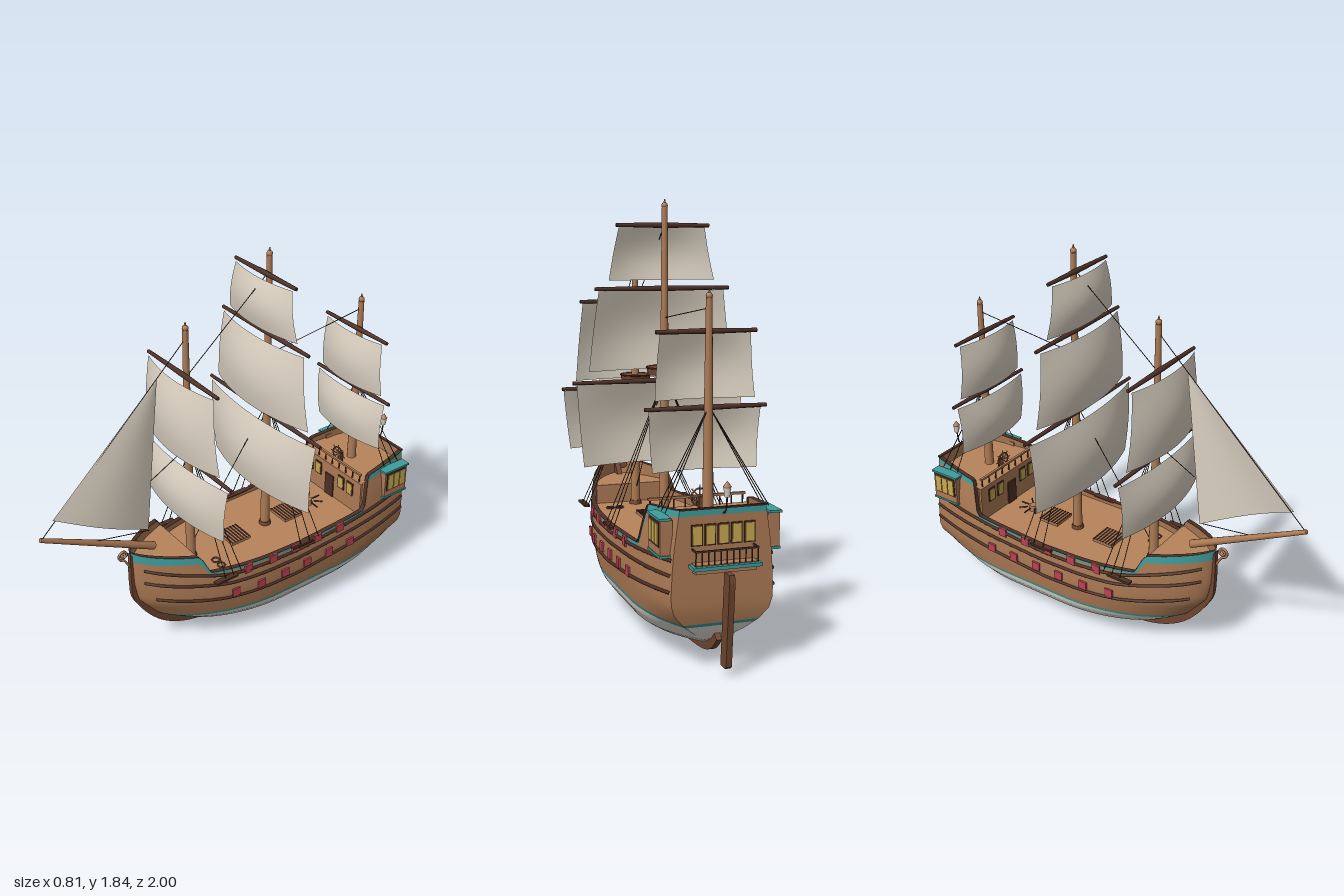
import * as THREE from 'three';

const mat = (name, color) => {
  const m = new THREE.MeshStandardMaterial({ color, side: THREE.DoubleSide });
  m.name = name;
  return m;
};
const M = {
  wood: mat('hull wood', 0xac7a54), deck: mat('deck wood', 0xb7845b),
  dark: mat('dark wood', 0x4d3026), brown: mat('red brown wood', 0x70452f),
  sail: mat('sailcloth', 0xdbd1c2), white: mat('hull white', 0xe4e0d8),
  teal: mat('teal trim', 0x3f9c9c), red: mat('port red', 0xbc4253),
  gold: mat('window gold', 0xc8a850), rope: mat('rope', 0x3a2d24),
};
const V = (x, y, z) => new THREE.Vector3(x, y, z);
const lerp = THREE.MathUtils.lerp;

// piecewise linear lookup in an ascending table
function at(t, x) {
  if (x <= t[0][0]) return t[0][1];
  for (let i = 1; i < t.length; i++)
    if (x <= t[i][0]) return lerp(t[i - 1][1], t[i][1], (x - t[i - 1][0]) / (t[i][0] - t[i - 1][0]));
  return t[t.length - 1][1];
}

// hull lines: half beam, bow and stern by height; rail height and trim depth by z
const BEAM = [[.038, 0], [.048, .09], [.065, .145], [.1, .198], [.15, .236], [.2, .25], [.3, .26], [.4, .255], [.5, .245], [.65, .218]];
const BOW = [[.038, .12], [.06, .22], [.1, .335], [.18, .455], [.3, .552], [.4, .57], [.58, .575]];
const STERN = [[.038, -.55], [.065, -.74], [.1, -.81], [.15, -.86], [.2, -.892], [.25, -.9]];
const SHEER = [[-.9, .65], [-.64, .622], [-.6, .455], [-.2, .437], [.28, .455], [.32, .545], [.58, .577]];
const TRIM = [[-.9, .025], [-.62, .03], [-.58, .014], [.27, .014], [.31, .035], [.58, .045]];
const stationZ = (s, y) => lerp(at(BOW, y), at(STERN, y), s);
function halfWidth(z, y) {
  const s = THREE.MathUtils.clamp((at(BOW, y) - z) / (at(BOW, y) - at(STERN, y)), 0, 1);
  const end = lerp(.15, .8, THREE.MathUtils.smoothstep(y, .04, .27));
  const fore = s < .42 ? (1 - (1 - s / .42) ** 2) ** .68 : 1;
  const aft = s > .65 ? 1 - (1 - end) * ((s - .65) / .35) ** 2.5 : 1;
  return at(BEAM, y) * fore * aft + .003;
}

export function createModel() {
  const root = new THREE.Group();
  root.name = 'sailingShip';
  const add = (name, geo, m) => {
    const mesh = new THREE.Mesh(geo, m);
    mesh.name = name;
    root.add(mesh);
    return mesh;
  };
  const box = (name, m, w, h, d, x, y, z) => {
    const b = add(name, new THREE.BoxGeometry(w, h, d), m);
    b.position.set(x, y, z);
    return b;
  };
  const rod = (name, m, a, b, r0, r1 = r0, sides = 8) => {
    const c = add(name, new THREE.CylinderGeometry(r1, r0, a.distanceTo(b), sides), m);
    c.position.copy(a).lerp(b, .5);
    c.quaternion.setFromUnitVectors(V(0, 1, 0), b.clone().sub(a).normalize());
    return c;
  };
  const ring = (name, m, r, t, x, y, z) => {
    const c = add(name, new THREE.TorusGeometry(r, t, 6, 24).rotateX(Math.PI / 2), m);
    c.position.set(x, y, z);
  };
  const tube = (name, m, pts, r, n = 40) =>
    add(name, new THREE.TubeGeometry(new THREE.CatmullRomCurve3(pts), n, r, 6), m);
  // grid of points from a rule f(u, v)
  const surface = (name, m, f, nu, nv) => {
    const p = [], idx = [];
    for (let j = 0; j <= nv; j++) for (let i = 0; i <= nu; i++) p.push(...f(i / nu, j / nv));
    for (let j = 0; j < nv; j++) for (let i = 0; i < nu; i++) {
      const a = j * (nu + 1) + i, b = a + nu + 1;
      idx.push(a, a + 1, b, a + 1, b + 1, b);
    }
    const g = new THREE.BufferGeometry();
    g.setAttribute('position', new THREE.Float32BufferAttribute(p, 3));
    g.setIndex(idx);
    g.computeVertexNormals();
    return add(name, g, m);
  };

  // hull planking in colour bands, both sides, with the flat transom closing the stern
  const trimY = z => at(SHEER, z) - at(TRIM, z);
  const bands = [
    ['hullBottom', M.white, () => .038, () => .178, 14], ['waterlineStripe', M.teal, () => .178, () => .192, 1],
    ['hullSide', M.wood, () => .192, trimY, 10], ['bulwarkTrim', M.teal, trimY, z => at(SHEER, z), 1]];
  for (const [name, m, lo, hi, n] of bands) {
    for (const side of [1, -1]) surface(name, m, (u, v) => {
      const s = (side > 0 ? 1 - u : u) ** 1.3, z0 = stationZ(s, .5);
      const y = lerp(lo(z0), hi(z0), n > 12 ? v ** 1.7 : v), z = stationZ(s, y);
      return [side * halfWidth(z, y), y, z];
    }, 80, n);
    surface(name + 'Stern', m, (u, v) => {
      const y = lerp(lo(-.9), hi(-.9), v), z = at(STERN, y);
      return [(1 - 2 * u) * halfWidth(z, y), y, z];
    }, 2, n);
  }

  // keel and stem in one thin plank
  const keel = new THREE.Shape();
  keel.moveTo(.5, .48);
  keel.lineTo(.58, .57);
  keel.splineThru([[.583, .4], [.568, .3], [.482, .17], [.375, .082], [.23, .03], [0, .008], [-.2, 0], [-.6, .013], [-.78, .045], [-.872, .115]].map(p => new THREE.Vector2(...p)));
  keel.lineTo(-.8, .16);
  keel.lineTo(.35, .16);
  const keelGeo = new THREE.ExtrudeGeometry(keel, { depth: .024, bevelEnabled: false, curveSegments: 40 });
  add('keel', keelGeo.translate(0, 0, -.012).rotateY(-Math.PI / 2), M.brown);

  // wales, bulwark lining, cap rails and gun ports
  const wales = [[.49, .42, .405, .455], [.42, .37, .36, .395], [.33, .285, .272, .33]];
  for (const side of [1, -1]) {
    for (const w of wales) {
      const line = [[-.89, w[3]], [-.2, w[2]], [.2, w[1]], [.54, w[0]]], pts = [];
      for (let i = 0; i <= 24; i++) {
        const z = lerp(w[0] < .4 ? .5 : .54, -.895, i / 24), y = at(line, z);
        pts.push(V(side * halfWidth(z, y), y, z));
      }
      tube('wale', M.dark, pts, .008, 60);
    }
    surface('bulwarkLining', M.wood, (u, v) => {
      const z = lerp(-.895, .565, side > 0 ? u : 1 - u), y = lerp(.4, at(SHEER, z), 1 - v);
      return [side * Math.max(0, halfWidth(z, y) - .008), y, z];
    }, 80, 1);
    surface('capRail', M.dark, (u, v) => {
      const z = lerp(.574, -.9, u), y = at(SHEER, z);
      return [side * Math.max(0, halfWidth(z, y) + lerp(-.016, .007, side > 0 ? v : 1 - v)), y + .002, z];
    }, 90, 1);
    const port = (y, z) => box('gunPort', M.red, .009, .042, .042, side * (halfWidth(z, y) + .004), y, z);
    [.1, -.034, -.167, -.302, -.44].forEach(z => port(.424, z));
    [.165, .033, -.104, -.237, -.372, -.507].forEach(z => port(.313, z));
    for (const z of [.235, -.205]) box('channel', M.dark, .026, .01, .12, side * .258, .433, z);

    // quarter gallery with windows
    box('quarterGallery', M.wood, .05, .14, .14, side * .222, .54, -.805);
    box('galleryRoof', M.teal, .05, .01, .155, side * .228, .614, -.805);
    box('galleryBase', M.teal, .052, .01, .15, side * .224, .468, -.805);
    box('galleryFrame', M.dark, .006, .098, .122, side * .247, .553, -.805);
    for (const z of [-.767, -.805, -.843]) box('galleryWindow', M.gold, .006, .082, .032, side * .25, .553, z);
  }
  surface('transomLining', M.wood, (u, v) => {
    const y = lerp(.56, .649, v);
    return [(2 * u - 1) * (halfWidth(-.894, y) - .004), y, -.894];
  }, 2, 1);
  box('taffrail', M.dark, .36, .006, .016, 0, .652, -.898);

  // decks and bulkheads
  const deck = (name, y, z0, z1) => surface(name, M.deck, (u, v) => {
    const z = lerp(z0, z1, v);
    return [(2 * u - 1) * (halfWidth(z, y) - .004), y, z];
  }, 2, 30);
  deck('mainDeck', .412, .3, -.6);
  deck('foreDeck', .5, .565, .3);
  deck('poopDeck', .59, -.6, -.898);
  box('foreBulkhead', M.wood, .36, .088, .01, 0, .456, .3);
  box('poopBulkhead', M.wood, .45, .178, .012, 0, .501, -.6);
  box('cabinDoor', M.dark, .06, .12, .008, 0, .472, -.592);
  for (const x of [-.15, -.085, .085, .15]) {
    box('cabinFrame', M.dark, .044, .07, .006, x, .53, -.592);
    box('cabinWindow', M.gold, .034, .058, .006, x, .53, -.59);
  }
  for (let i = 0; i <= 8; i++) rod('poopBaluster', M.dark, V(-.2 + i * .05, .59, -.605), V(-.2 + i * .05, .628, -.605), .0035);
  box('poopRail', M.wood, .42, .01, .012, 0, .632, -.605);

  // deck fittings: gratings, capstan, wheel, rope coils
  for (const z of [-.318, 0]) {
    box('hatch', M.wood, .116, .014, .105, 0, .418, z);
    for (let i = 0; i < 7; i++) box('hatchBar', M.dark, .116, .005, .006, 0, .426, z - .049 + i * .0163);
  }
  rod('capstan', M.wood, V(0, .41, -.455), V(0, .44, -.455), .024, .02, 12);
  for (let i = 0; i < 8; i++) {
    const a = i * Math.PI / 4, c = Math.cos(a), s = Math.sin(a);
    rod('capstanBar', M.dark, V(c * .028, .432, -.455 + s * .028), V(c * .072, .432, -.455 + s * .072), .0035);
    rod('wheelSpoke', M.wood, V(0, .635, -.64), V(c * .05, .635 + s * .05, -.64), .003);
  }
  add('wheelRim', new THREE.TorusGeometry(.036, .004, 6, 24), M.brown).position.set(0, .635, -.64);
  box('wheelStand', M.brown, .02, .06, .02, 0, .61, -.655);
  for (const x of [.1, .145]) ring('ropeCoil', M.brown, .017, .004, x, .416, .18);

  // stern: windows, balcony, lantern, rudder
  for (let i = -2; i <= 2; i++) {
    box('sternFrame', M.dark, .046, .084, .006, i * .054, .55, -.902);
    box('sternWindow', M.gold, .036, .072, .006, i * .054, .55, -.905);
  }
  box('balconyTrim', M.teal, .28, .014, .062, 0, .432, -.93);
  box('balconyFloor', M.wood, .256, .008, .045, 0, .439, -.9225);
  box('balconyUnderside', M.wood, .25, .02, .04, 0, .416, -.918);
  box('balconyRail', M.dark, .26, .007, .006, 0, .497, -.945);
  for (const x of [-.127, .127]) box('balconySideRail', M.dark, .006, .007, .045, x, .497, -.923);
  for (let i = 0; i <= 10; i++) rod('balconyPost', M.dark, V(-.127 + i * .0254, .44, -.945), V(-.127 + i * .0254, .497, -.945), .003);
  tube('lanternArm', M.dark, [V(0, .63, -.9), V(0, .645, -.925), V(0, .7, -.937)], .0035, 12);
  rod('lantern', M.sail, V(0, .7, -.937), V(0, .738, -.937), .011, .016, 8);
  rod('lanternCap', M.wood, V(0, .738, -.937), V(0, .76, -.937), .018, .002, 8);
  const rudder = new THREE.Shape([[-.945, .41], [-.995, .41], [-1, .38], [-.972, .04], [-.96, .03], [-.912, .03]].map(p => new THREE.Vector2(...p)));
  add('rudder', new THREE.ExtrudeGeometry(rudder, { depth: .024, bevelEnabled: false }).translate(0, 0, -.012).rotateY(-Math.PI / 2), M.brown);

  // masts with fighting tops: z, base, top, height and radius of the platform
  for (const [z, y0, y1, ny, nr] of [[.25, .41, 1.58, 1.02, .07], [-.185, .41, 1.8, 1.1, .079], [-.73, .58, 1.44, 0, 0]]) {
    rod('mast', M.wood, V(0, y0, z), V(0, y1, z), .023, .013, 14);
    add('mastCap', new THREE.SphereGeometry(.014, 12, 8), M.wood).position.set(0, y1 + .008, z);
    rod('mastTip', M.wood, V(0, y1 + .01, z), V(0, y1 + .035, z), .008, .002, 8);
    if (nr) {
      rod('crowsNest', M.brown, V(0, ny - .016, z - .005), V(0, ny + .016, z - .005), nr * .94, nr, 24);
      ring('crowsNestRim', M.dark, nr, .004, 0, ny + .015, z - .005);
      rod('mastFoot', M.brown, V(0, .41, z), V(0, .43, z), .03, .026, 14);
    }
  }

  // yards and square sails: z, yard height, yard half length, sail foot, half widths, belly
  const squares = [
    [.272, 1.38, .26, 1.01, .245, .28, .05], [.272, .975, .35, .69, .34, .31, .05],
    [-.163, 1.725, .21, 1.49, .195, .24, .035], [-.163, 1.455, .305, 1.1, .285, .33, .055], [-.163, 1.055, .405, .685, .385, .355, .06],
    [-.707, 1.31, .21, 1.04, .19, .21, .035], [-.707, 1.01, .255, .755, .235, .22, .035]];
  for (const [z, y, half, foot, w0, w1, belly] of squares) {
    for (const s of [1, -1]) rod('yard', M.dark, V(0, y, z), V(s * half, y, z), .012, .008);
    surface('squareSail', M.sail, (u, v) => {
      const t = 2 * u - 1, swell = Math.sin(v * Math.PI);
      return [t * lerp(w0, w1, v), lerp(y - .01, foot, v), z + .01 + .01 * swell + belly * (1 - t * t) * (.75 + .3 * v + .35 * swell)];
    }, 16, 12);
  }

  // bowsprit, jib and scroll
  rod('bowsprit', M.wood, V(0, .56, .45), V(0, .832, .995), .019, .01, 12);
  const [head, tack, clew] = [V(0, 1.4, .397), V(0, .905, .93), V(0, .67, .48)];
  surface('jib', M.sail, (u, v) => {
    const p = head.clone().lerp(tack.clone().lerp(clew, u), v);
    return [.03 * Math.sin(u * Math.PI) * v + .012 * v * u, p.y, p.z];
  }, 12, 16);
  const scroll = [];
  for (let i = 0; i <= 20; i++) {
    const a = i * .5, r = .026 - i * .001;
    scroll.push(V(0, .575 - r * Math.cos(a), .61 + r * Math.sin(a)));
  }
  tube('bowScroll', M.wood, [V(0, .5, .58), ...scroll], .006, 50);

  // standing rigging
  const line = (a, b) => rod('rope', M.rope, V(...a), V(...b), .002, .002, 5);
  line([0, 1.53, .26], [0, .83, .99]);
  line([0, 1.72, -.175], [0, 1.36, .25]);
  line([0, 1.4, -.72], [0, 1.33, -.19]);
  line([0, 1.07, -.175], [0, .5, .23]);
  line([0, 1.01, .26], [0, .91, .45]);
  line([.02, .67, .48], [0, .72, .77]);
  for (const s of [1, -1]) for (let i = 0; i < 3; i++) {
    line([0, 1.0, .24], [s * .262, .44, .24 - i * .045]);
    line([0, 1.08, -.195], [s * .268, .44, -.19 - i * .055]);
    line([0, 1.02, -.735], [s * .215, .63, -.75 - i * .045]);
  }
  return root;
}
